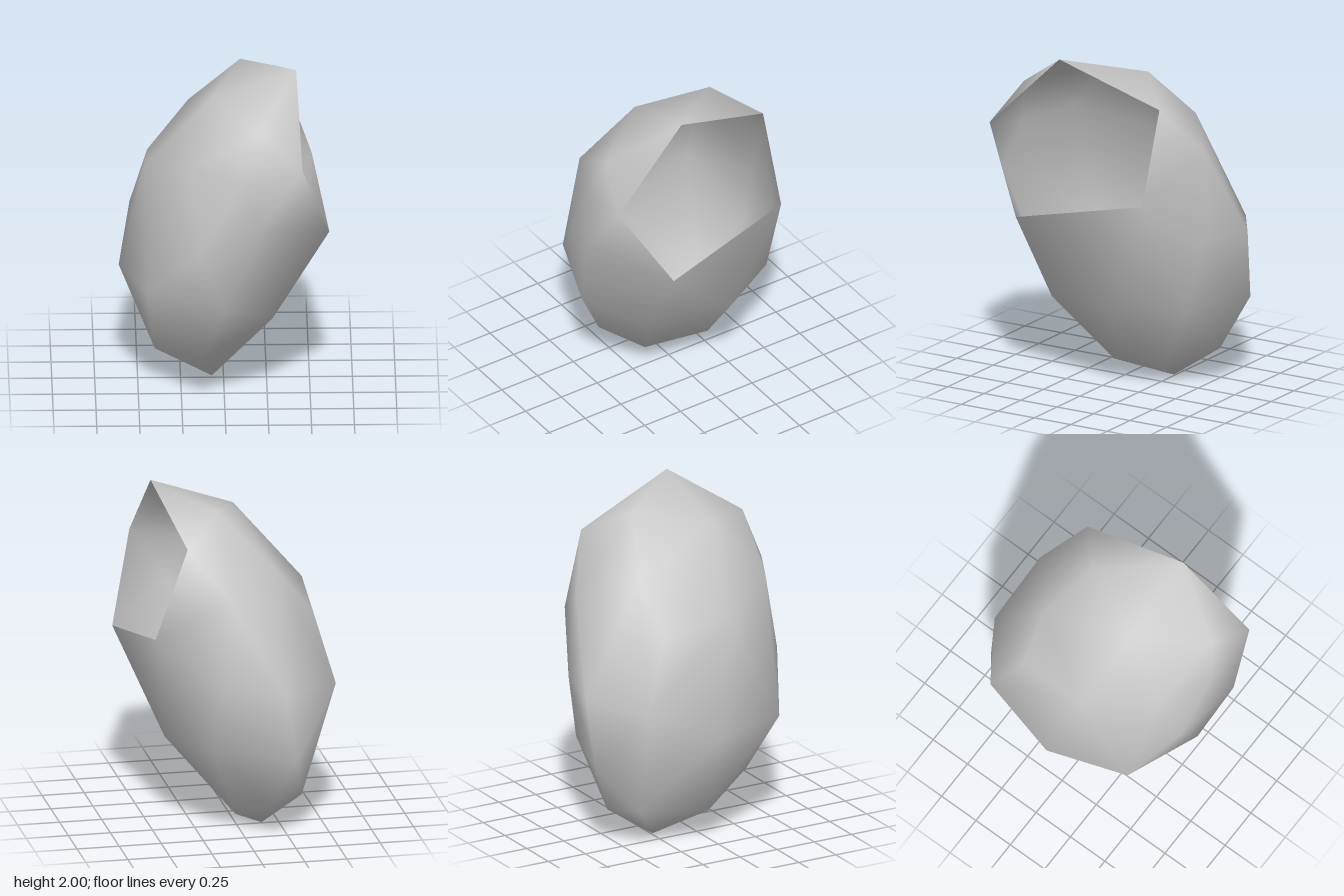
import * as THREE from 'three';
import { ConvexGeometry } from 'three/addons/geometries/ConvexGeometry.js';
import { mergeVertices } from 'three/addons/utils/BufferGeometryUtils.js';

const toVector = (p) => new THREE.Vector3(...p);

// Corners of the pentagonal mouth
const MOUTH = [
  [0.42, 2.0, 0.19], [0.33, 1.77, -0.44], [0.52, 1.23, -0.44], [0.61, 1.06, 0.37], [0.45, 1.55, 0.65],
].map(toVector);

// Corners of the rest of the pod
const BODY = [
  // crown
  [0.1, 1.91, -0.22], [-0.07, 1.83, 0.19], [0.2, 1.75, 0.57], [-0.2, 1.6, -0.36], [0.095, 1.475, -0.61],
  // shoulders
  [-0.46, 1.38, 0.1], [-0.2, 1.5, 0.49], [0.1, 1.48, 0.64], [-0.44, 1.3, -0.33], [0.21, 1.2, 0.715],
  // belly
  [-0.15, 1.0, 0.6], [0.15, 0.95, -0.63], [-0.2, 0.93, -0.715], [-0.54, 0.91, -0.49],
  [-0.61, 0.7, -0.03], [-0.45, 0.7, 0.44], [0, 0.66, 0.61], [0.41, 0.54, -0.16],
  [0.28, 0.5, 0.33], [0.2, 0.55, -0.55], [-0.27, 0.52, -0.69],
  // base
  [-0.135, 0.28, 0.4], [-0.35, 0.22, -0.43], [-0.16, 0.21, -0.55], [-0.4, 0.18, -0.01],
  [0.01, 0.07, -0.265], [-0.07, 0.06, 0.12], [-0.15, 0, -0.24],
].map(toVector);

// Wraps a skin around the corners, leaves out the mouth faces and smooths the rest
function openShell() {
  const hull = new ConvexGeometry([...MOUTH, ...BODY]).getAttribute('position');
  const kept = [];
  for (let i = 0; i < hull.count; i += 3) {
    const face = [i, i + 1, i + 2].map((k) => new THREE.Vector3().fromBufferAttribute(hull, k));
    const inMouth = face.every((v) => MOUTH.some((m) => m.distanceTo(v) < 0.001));
    if (!inMouth) face.forEach((v) => kept.push(v.x, v.y, v.z));
  }
  const geometry = new THREE.BufferGeometry();
  geometry.setAttribute('position', new THREE.Float32BufferAttribute(kept, 3));
  const smooth = mergeVertices(geometry);
  smooth.computeVertexNormals();
  return smooth;
}

export function createModel() {
  const group = new THREE.Group();
  group.name = 'openPod';
  const grey = new THREE.MeshStandardMaterial({ color: 0xc8c8c8, side: THREE.DoubleSide });
  grey.name = 'grey';

  // Smooth shell, open at the mouth
  const shell = new THREE.Mesh(openShell(), grey);
  shell.name = 'shell';
  group.add(shell);
  return group;
}
